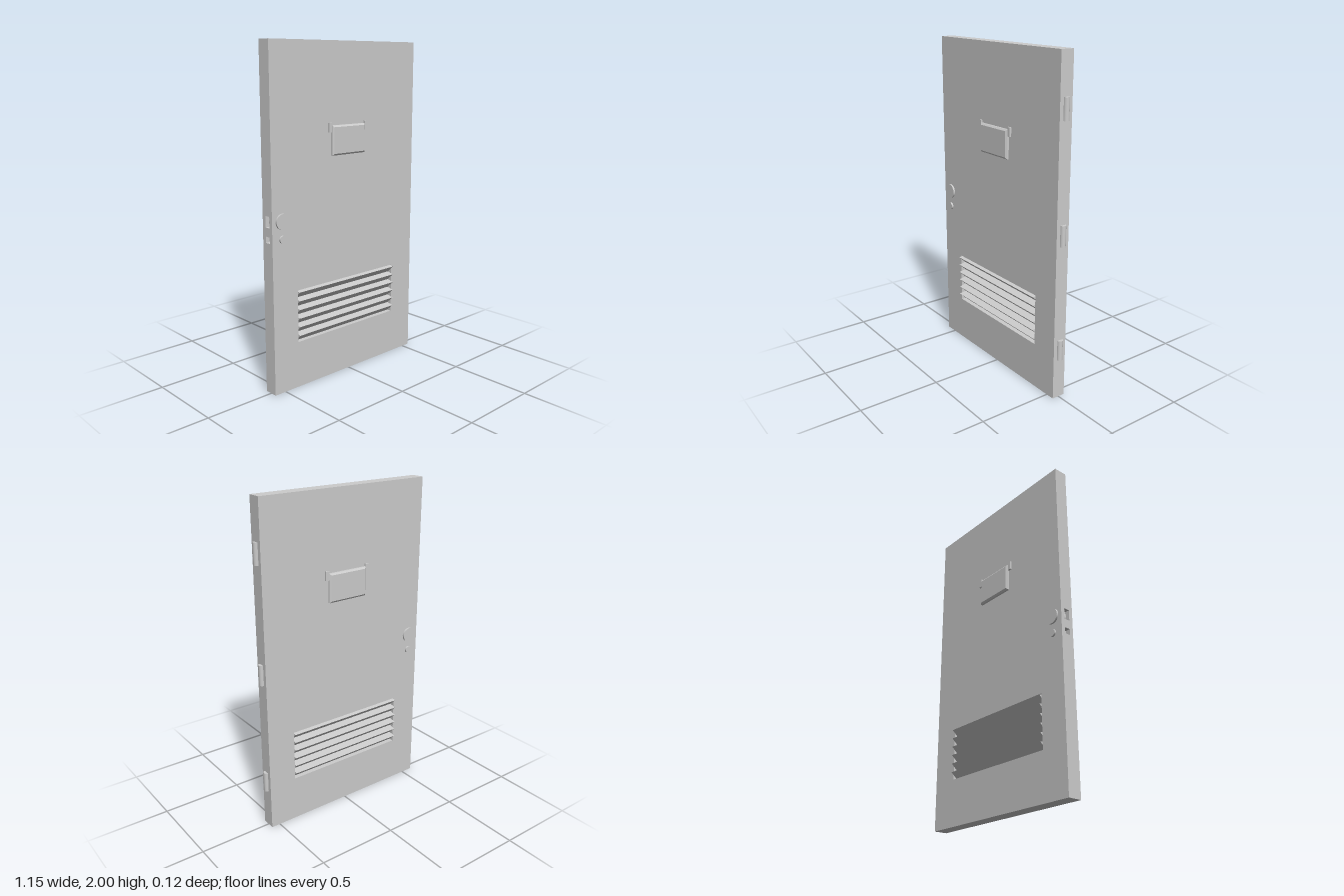
import * as THREE from 'three';

const material = new THREE.MeshStandardMaterial({ color: 0xcccccc });
const CX = -0.01;      // middle of the door leaf
const HALF = 0.042;    // half the door thickness

function add(parent, name, geometry, x = 0, y = 0, z = 0) {
  const mesh = new THREE.Mesh(geometry, material);
  mesh.name = name;
  mesh.position.set(x, y, z);
  parent.add(mesh);
  return mesh;
}

// Rectangle outline from corner to corner
function rect(x0, y0, x1, y1, Type = THREE.Shape) {
  return new Type([[x0, y0], [x1, y0], [x1, y1], [x0, y1]].map(p => new THREE.Vector2(...p)));
}

// Extrude a (z, y) profile along x, starting at x0
function extrudeAlongX(shape, x0, x1) {
  return new THREE.ExtrudeGeometry(shape, { depth: x1 - x0, bevelEnabled: false })
    .rotateY(Math.PI / 2).translate(x0, 0, 0);
}

export function createModel() {
  const door = new THREE.Group();
  door.name = 'door';

  // Door leaf with the vent opening
  const leaf = rect(-0.545, 0, 0.555, 2);
  leaf.holes.push(rect(-0.4, 0.28, 0.38, 0.595, THREE.Path));
  add(door, 'leaf', new THREE.ExtrudeGeometry(leaf, { depth: 2 * HALF, bevelEnabled: false }), 0, 0, -HALF);

  // Lock edge with pockets for latch and bolt
  const edge = rect(-HALF, 0, HALF, 2);
  edge.holes.push(rect(-0.018, 0.985, 0.018, 1.05, THREE.Path));
  edge.holes.push(rect(-0.018, 0.897, 0.018, 0.933, THREE.Path));
  add(door, 'lockEdge', extrudeAlongX(edge, -0.575, -0.545));

  // Louvered vent: sawtooth section on both faces
  const slats = 6, pitch = 0.0525, top = 0.595;
  const teeth = [];
  for (let i = 0; i < slats; i++) {
    const y = top - i * pitch;
    teeth.push([0.012, y], [0.058, y - 0.01]);
  }
  teeth.push([0.012, top - slats * pitch]);
  const back = teeth.map(([z, y]) => [-z, y]).reverse();
  const section = new THREE.Shape([...teeth, ...back].map(p => new THREE.Vector2(...p)));
  add(door, 'ventLouvers', extrudeAlongX(section, -0.4, 0.38));

  // Chamfered viewing panel, showing on both faces
  const panel = new THREE.ExtrudeGeometry(rect(-0.12, -0.077, 0.12, 0.077), {
    depth: 0.106, bevelEnabled: true, bevelSegments: 1, bevelSize: 0.01, bevelThickness: 0.008,
  });
  add(door, 'viewPanel', panel, CX, 1.438, -0.053);

  // Brackets beside the panel
  for (const s of [-1, 1]) {
    add(door, 'panelBracket', new THREE.BoxGeometry(0.022, 0.055, 0.106), CX + s * 0.142, 1.513, 0);
  }

  // Round knob plate and lock cylinder through the leaf
  for (const [name, radius, y] of [['knobPlate', 0.045, 1.017], ['lockCylinder', 0.022, 0.915]]) {
    add(door, name, new THREE.CylinderGeometry(radius, radius, 0.106, 32).rotateX(Math.PI / 2), -0.506, y, 0);
  }

  // Hinge barrels
  for (const y of [0.307, 1.002, 1.697]) {
    add(door, 'hinge', new THREE.CylinderGeometry(0.018, 0.018, 0.124, 12), 0.556, y, 0);
  }

  return door;
}
